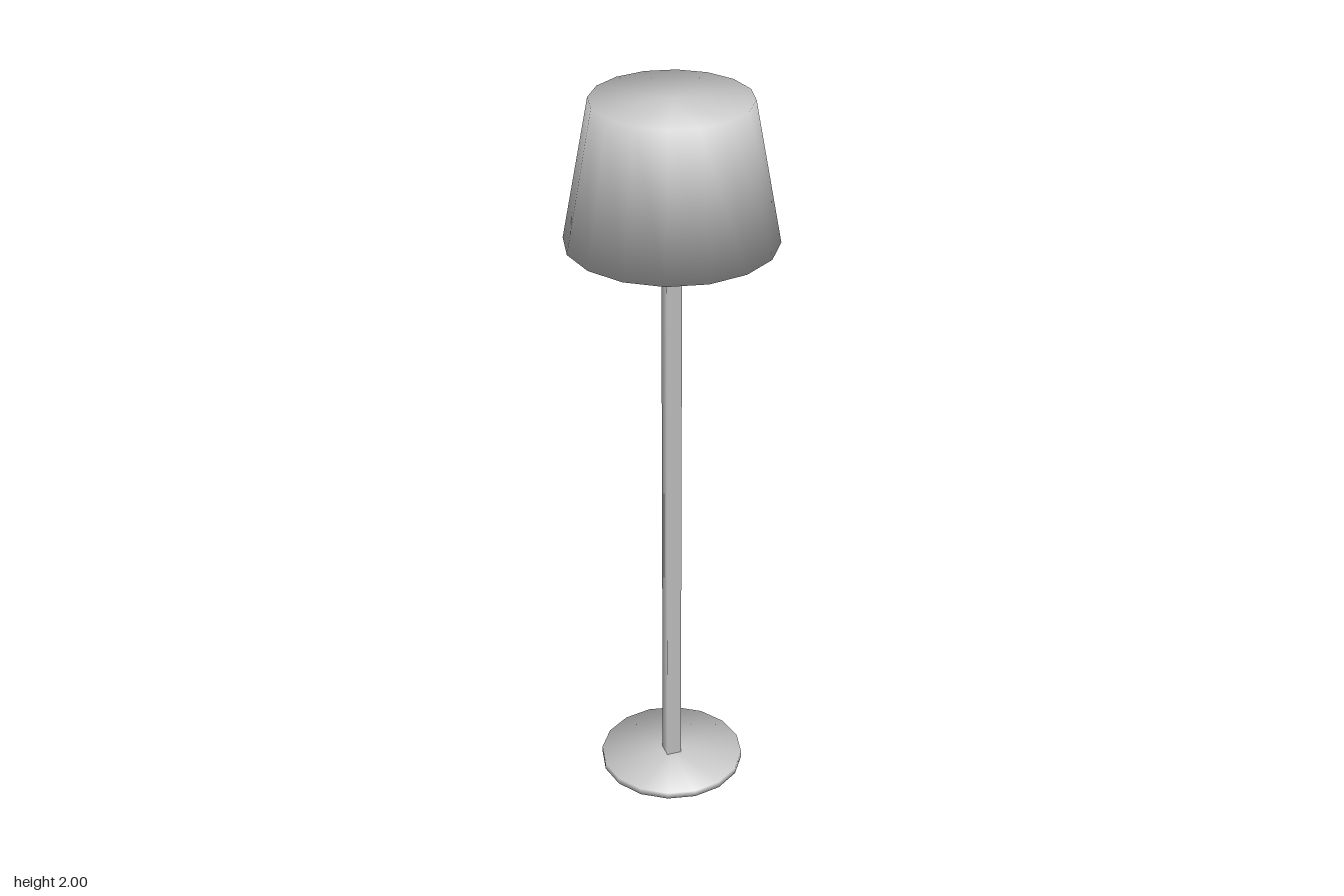
import * as THREE from 'three';

const material = new THREE.MeshStandardMaterial({ color: 0xcccccc, side: THREE.DoubleSide });

// Soft-shaded turned part. Each profile point is [radius, height], from the
// lower axis round the outside; a corner's normal is the mean of its two faces.
function turned(name, profile, sides) {
  const points = profile.map(([r, y]) => new THREE.Vector2(r, y));
  const faceNormals = points.slice(1).map((p, j) => {
    const d = p.clone().sub(points[j]).normalize();
    return new THREE.Vector2(d.y, -d.x);
  });
  const last = points.length - 1;
  const normals = points.map((p, j) => {
    if (j === 0 || j === last) {
      // Cap centre: matches the height of its rim normal, so the cap shades evenly
      const rim = j === 0 ? 0 : last - 2;
      const n = faceNormals[rim].clone().add(faceNormals[rim + 1]).normalize();
      return new THREE.Vector2(0, n.y);
    }
    return faceNormals[j - 1].clone().add(faceNormals[j]).normalize();
  });

  const geometry = new THREE.LatheGeometry(points, sides);
  for (let i = 0; i <= sides; i++) {
    const angle = (i / sides) * Math.PI * 2;
    normals.forEach((n, j) => geometry.attributes.normal.setXYZ(
      i * points.length + j, n.x * Math.sin(angle), n.y, n.x * Math.cos(angle)));
  }
  const mesh = new THREE.Mesh(geometry, material);
  mesh.name = name;
  return mesh;
}

export function createModel() {
  const lamp = new THREE.Group();
  lamp.name = 'floorLamp';

  // Thin disc foot
  lamp.add(turned('base', [[0, 0.008], [0.2, 0.008], [0.2, 0.027], [0, 0.027]], 16));

  // Slim four-sided pole, corners on the axes, running up into the shade
  const pole = new THREE.Mesh(new THREE.CylinderGeometry(0.029, 0.029, 1.97, 4), material);
  pole.name = 'pole';
  pole.position.y = 0.985;
  lamp.add(pole);

  // Tapered shade: inner top, inner wall, rim, outer wall, closed top
  lamp.add(turned('shade', [
    [0, 1.99], [0.197, 1.99], [0.264, 1.628],
    [0.274, 1.628], [0.205, 2], [0, 2],
  ], 16));

  return lamp;
}
